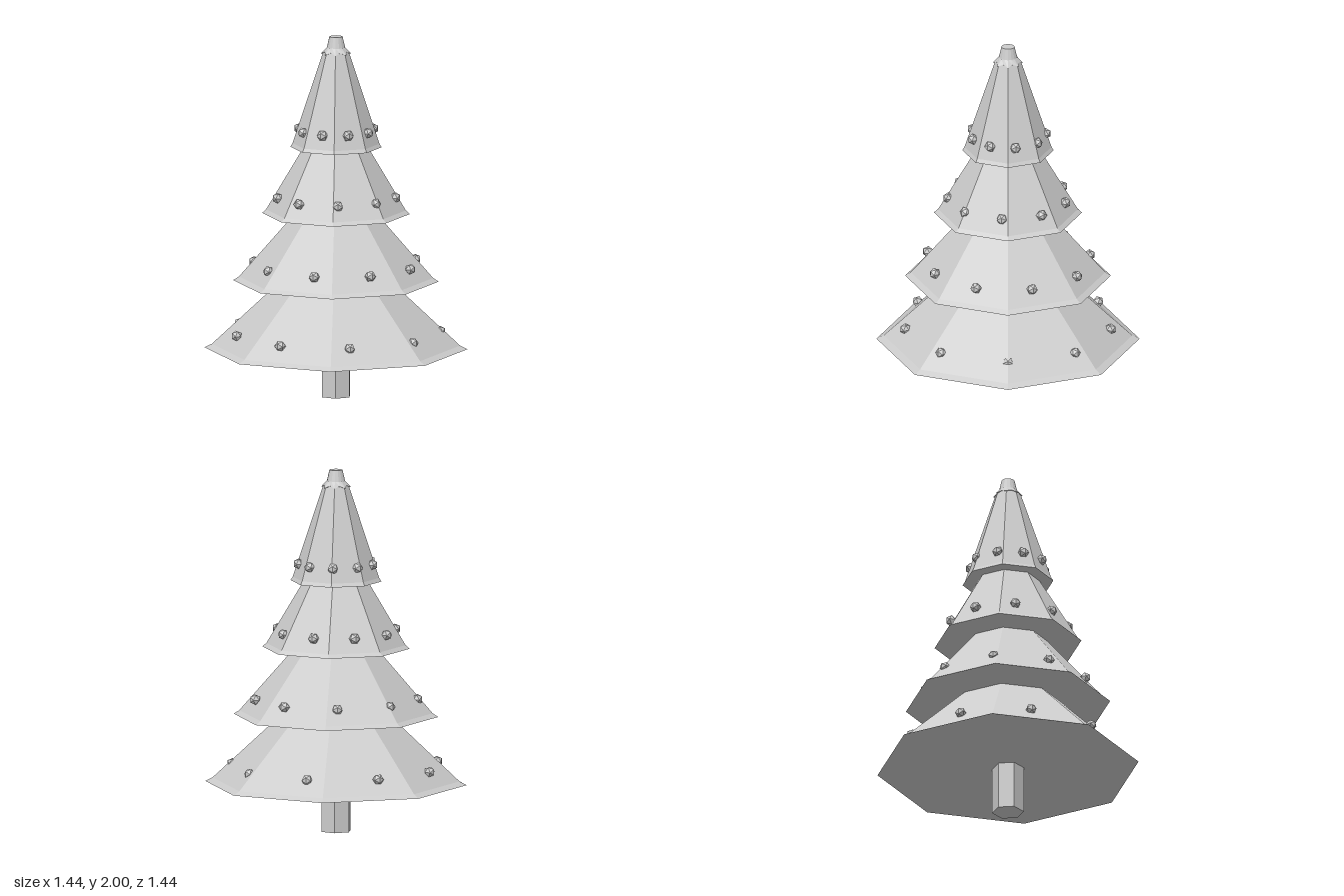
import * as THREE from 'three';

export function createModel() {
  const tree = new THREE.Group();
  tree.name = 'tree';
  const grey = new THREE.MeshStandardMaterial({ color: 0xcccccc });
  grey.name = 'pale grey';

  const add = (name, geometry, parent = tree) => {
    const flat = geometry.index ? geometry.toNonIndexed() : geometry;
    flat.computeVertexNormals();
    const mesh = new THREE.Mesh(flat, grey);
    mesh.name = name;
    parent.add(mesh);
    return mesh;
  };
  const turned = (points, sides) =>
    new THREE.LatheGeometry(points.map(([r, y]) => new THREE.Vector2(r, y)), sides);

  // Six-sided trunk
  add('trunk', new THREE.CylinderGeometry(0.087, 0.087, 0.265, 6).translate(0, 0.1325, 0));

  // Eight-sided tiers with a slightly flared rim, each with a ring of baubles
  const tiers = [
    { rim: 0.72, y: 0.265, lip: 0.68, neck: 0.29, top: 0.65, ballR: 0.57, ballY: 0.365 },
    { rim: 0.563, y: 0.64, lip: 0.532, neck: 0.215, top: 1.025, ballR: 0.45, ballY: 0.74 },
    { rim: 0.405, y: 1.015, lip: 0.383, neck: 0.17, top: 1.395, ballR: 0.327, ballY: 1.112 },
    { rim: 0.25, y: 1.385, lip: 0.238, neck: 0.07, top: 1.915, ballR: 0.205, ballY: 1.482 },
  ];
  const count = 9;
  tiers.forEach((t, i) => {
    const tier = new THREE.Group();
    tier.name = `tier${i + 1}`;
    tree.add(tier);
    add('branches', turned([
      [0, t.y], [t.rim, t.y], [t.lip, t.y + 0.02], [t.neck, t.top], [0, t.top],
    ], 8), tier);
    for (let k = 0; k < count; k++) {
      const a = i * 0.4 + (k / count) * Math.PI * 2;
      const ball = add('bauble', new THREE.IcosahedronGeometry(0.031, 0), tier);
      ball.position.set(t.ballR * Math.cos(a), t.ballY, t.ballR * Math.sin(a));
      ball.rotation.y = Math.PI / 2 - a;
    }
  });

  // Treetop cap: a tapering stub whose skirt is pulled out into eight points
  const cap = turned([
    [0, 1.905], [0.083, 1.905], [0.05, 1.94], [0.036, 2], [0, 2],
  ], 16);
  const p = cap.attributes.position;
  for (let i = 0; i < p.count; i++) {
    const x = p.getX(i), z = p.getZ(i);
    const step = Math.round(Math.atan2(x, z) / (Math.PI / 8));
    if (Math.abs(p.getY(i) - 1.905) < 0.001 && step % 2 !== 0) {
      p.setXYZ(i, x * 0.78, 1.918, z * 0.78);
    }
  }
  add('treetopCap', cap);

  return tree;
}
